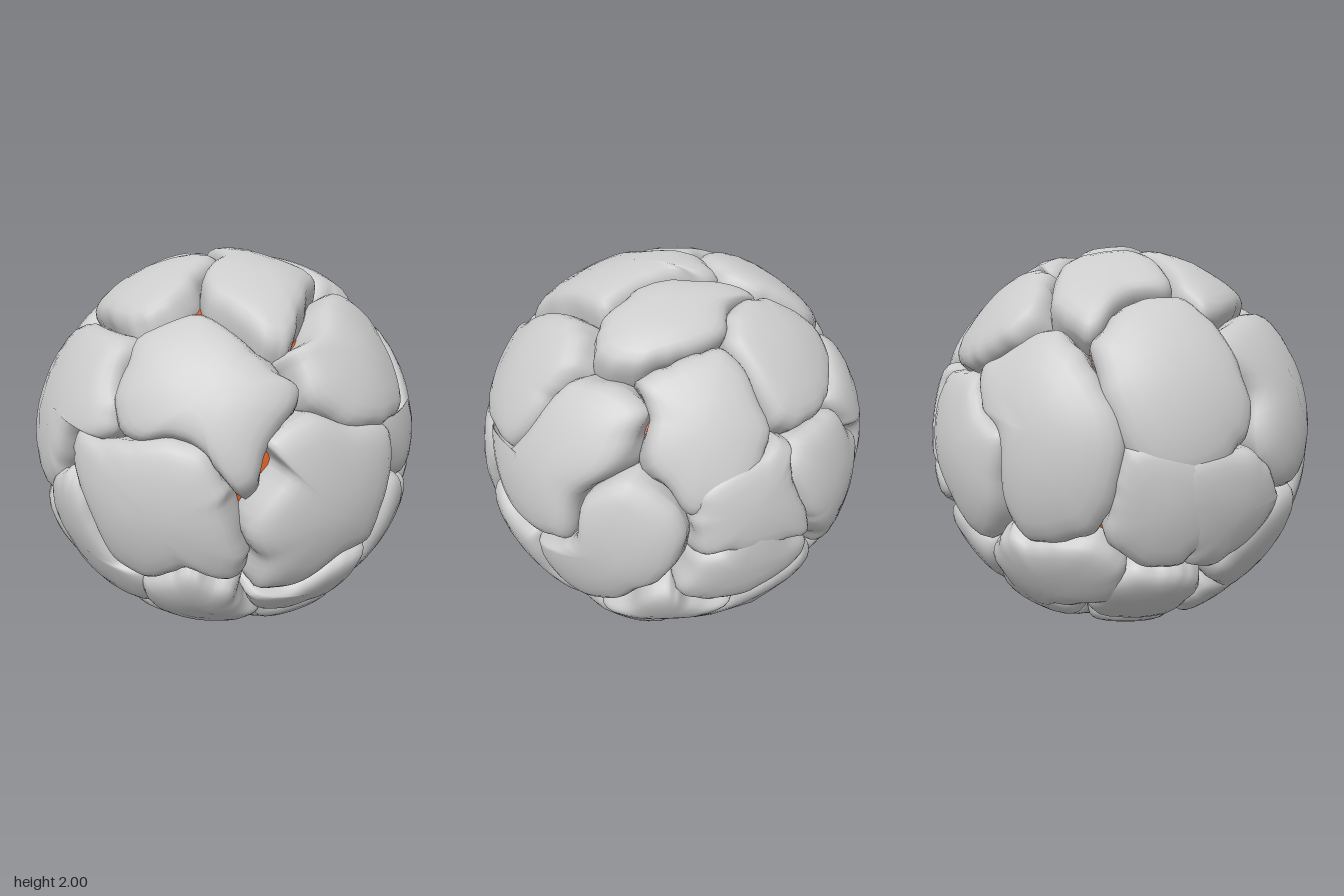
import * as THREE from 'three';

const grey = new THREE.MeshStandardMaterial({ color: 0xcccccc, side: THREE.DoubleSide });
const orange = new THREE.MeshStandardMaterial({ color: 0xd85a20 });
const V = (x, y, z) => new THREE.Vector3(x, y, z);

// Drawing planes around the ball: right, up and outward axes
function plane(azimuth, elevation) {
  const a = THREE.MathUtils.degToRad(azimuth), e = THREE.MathUtils.degToRad(elevation);
  const right = V(Math.cos(a), 0, -Math.sin(a));
  const out = V(Math.sin(a) * Math.cos(e), Math.sin(e), Math.cos(a) * Math.cos(e));
  return [right, out.clone().cross(right), out];
}
const front = plane(0, 0), side = plane(90, 0);
const back = plane(215, 24), under = plane(142, -30);
const top = [V(1, 0, 0), V(0, 0, 1), V(0, 1, 0)];
const bottom = [V(1, 0, 0), V(0, 0, 1), V(0, -1, 0)];

const CORE = 0.85, SEG = 72;
// Cap rings (reach towards the shoulder, height), then wall rings (reach towards the foot, height)
const CAP = [[0.3, 1], [0.55, 0.985], [0.74, 0.95], [0.86, 0.88], [0.94, 0.77], [1, 0.6]];
const WALL = [[0.3, 0.45], [0.65, 0.25], [1, 0.02], [1.1, -0.25]];

// Wrap a closed outline (hundredths) on the ball: centre, rim directions, room to spread
function wrapOutline([right, up, out], pts) {
  let dirs = [];
  for (let i = 0; i < pts.length; i += 2) {
    const u = pts[i] / 100, v = pts[i + 1] / 100;
    const w = Math.sqrt(Math.max(0, 0.96 - u * u - v * v));
    dirs.push(V(0, 0, 0).addScaledVector(right, u).addScaledVector(up, v).addScaledVector(out, w).normalize());
  }
  const centre = dirs.reduce((s, d) => s.add(d), V(0, 0, 0)).normalize();
  // keep the outline anticlockwise seen from outside
  let turn = 0;
  dirs.forEach((d, i) => { turn += d.clone().cross(dirs[(i + 1) % dirs.length]).dot(centre); });
  if (turn < 0) dirs = dirs.reverse();
  const rim = new THREE.CatmullRomCurve3(dirs, true, 'centripetal').getPoints(SEG).slice(0, SEG);
  rim.forEach(d => d.normalize());
  const room = rim.map(d => 0.015 + 0.4 * (1 - d.dot(out) ** 2));
  return { centre, rim, room };
}

// Spread a rim outwards until it meets the neighbouring rocks; returns shoulder and foot
function spreadRim({ centre, rim, room }, others) {
  const outward = rim.map(d => d.clone().multiplyScalar(centre.dot(d)).sub(centre).normalize());
  const blocked = (p, s) => others.some(o => {
    if (p.dot(o.centre) < 0.3) return false;
    let near = o.rim[0], best = -1;
    for (const q of o.rim) {
      const c = p.dot(q);
      if (c > best) { best = c; near = q; }
    }
    const inside = p.dot(o.centre) > near.dot(o.centre);
    return inside || Math.sqrt(Math.max(0, 2 - 2 * best)) < 0.5 * s + 0.015;
  });
  const grow = rim.map((d, i) => {
    let s = 0;
    while (s < room[i] && !blocked(d.clone().addScaledVector(outward[i], s + 0.02).normalize(), s)) s += 0.02;
    return s;
  });
  const spread = amount => rim.map((d, i) => {
    const s = (grow[(i + SEG - 1) % SEG] + 2 * grow[i] + grow[(i + 1) % SEG]) / 4;
    return d.clone().addScaledVector(outward[i], s * amount).normalize();
  });
  return [spread(0.55), spread(1)];
}

// Rock with a pillowy cap down to its shoulder and a sloping wall down to its foot
function rockGeometry(centre, shoulder, foot, seed) {
  const crown = 1 + 0.005 * Math.sin(seed * 2.7);
  const pos = [centre.x * crown, centre.y * crown, centre.z * crown], index = [];
  const ring = (from, to, t, h, wave) => to.forEach((d, i) => {
    const a = i / SEG * Math.PI * 2;
    const ripple = Math.sin(a * 10 + seed) * 0.6 + Math.sin(a * 17 + seed * 3) * 0.4;
    const p = from(i).clone().lerp(d, t).addScaledVector(centre, -0.012 * ripple * wave).normalize();
    p.lerp(centre, 0.03 * ripple * wave).normalize();
    const lump = 0.004 * (Math.sin(p.x * 9 + seed) + Math.sin(p.y * 8 + seed * 2) + Math.sin(p.z * 10)) * h;
    p.multiplyScalar(CORE + (crown - CORE) * h + lump);
    pos.push(p.x, p.y, p.z);
  });
  CAP.forEach(([t, h]) => ring(() => centre, shoulder, t, h, t * t * t));
  WALL.forEach(([t, h]) => ring(i => shoulder[i], foot, t, h, 1));
  for (let i = 0; i < SEG; i++) {
    const j = (i + 1) % SEG;
    index.push(0, 1 + i, 1 + j);
    for (let k = 0; k < CAP.length + WALL.length - 1; k++) {
      const a = 1 + k * SEG + i, b = 1 + k * SEG + j;
      index.push(a, a + SEG, b + SEG, a, b + SEG, b);
    }
  }
  const g = new THREE.BufferGeometry();
  g.setAttribute('position', new THREE.Float32BufferAttribute(pos, 3));
  g.setIndex(index);
  g.computeVertexNormals();
  return g;
}

export function createModel() {
  const model = new THREE.Group();
  model.name = 'rockBall';
  const ball = new THREE.Group();
  ball.name = 'rocks';
  ball.position.y = 1;
  model.add(ball);

  // Glowing core showing through the cracks
  const core = new THREE.Mesh(new THREE.SphereGeometry(CORE, 48, 32), orange);
  core.name = 'core';
  ball.add(core);

  const rocks = [];
  const rock = (name, view, ...pts) => rocks.push({ name, ...wrapOutline(view, pts) });

  // Front rocks
  rock('frontStarRock', front, -24, 25, -4, 25, 15, 28, 32, 30, 46, 24, 51, 10, 48, 0, 54, -22, 50, -33, 35, -32, 25, -38, 12, -43, -4, -36, -12, -16);
  rock('frontUpperLeftRock', front, -1, 52, 8, 66, 24, 73, 42, 66, 52, 56, 66, 50, 67, 37, 60, 16, 50, 16, 44, 24, 30, 30, 12, 27, -2, 40);
  rock('frontHookRock', front, -74, 56, -52, 64, -28, 65, -8, 58, -2, 46, 2, 35, -5, 25, -18, 30, -32, 8, -36, -5, -52, -16, -72, -12, -82, 5, -76, 30);
  rock('frontKidneyRock', front, -48, -10, -40, 2, -28, 4, -18, 0, -12, -18, -2, -38, 9, -45, 4, -68, -15, -68, -40, -60, -44, -40, -52, -25);
  rock('frontLowerRightRock', front, -75, -22, -55, -17, -50, -30, -44, -55, -25, -68, -18, -75, -35, -80, -65, -62, -78, -45);
  rock('frontLowerLeftRock', front, 8, -46, 25, -38, 36, -33, 42, -45, 48, -60, 45, -72, 25, -82, 3, -70);
  rock('frontFarRightRock', front, -97, 8, -83, 6, -72, -14, -70, -22, -76, -42, -86, -42, -96, -15);

  // Rocks on the +x side
  rock('sideFrontRock', side, -68, 30, -50, 34, -25, 30, -4, 24, -8, 0, -14, -15, -17, -30, -35, -34, -52, -48, -63, -44, -65, -25, -73, -15, -62, 10);
  rock('sideElbowRock', side, -11, 28, 2, 20, 14, 24, 26, 40, 34, 58, 48, 62, 64, 60, 66, 45, 58, 22, 55, -5, 45, -9, 20, -8, 5, 2);
  rock('sideUpperRock', side, -42, 52, -36, 62, -20, 68, -5, 76, 10, 78, 22, 74, 28, 60, 28, 48, 18, 28, 0, 26, -20, 27, -35, 32);
  rock('sideLowerRock', side, -4, -4, 4, -3, 14, -13, 32, -14, 35, -25, 33, -45, 35, -60, 15, -65, -10, -62, -17, -52, -12, -36);
  rock('sideLowerFrontRock', side, -62, -50, -50, -48, -35, -36, -18, -34, -14, -50, -18, -62, -35, -64, -55, -62);
  rock('sideBottomRock', side, -35, -66, -18, -64, -5, -68, 0, -80, -3, -92, -20, -95, -28, -85);
  rock('sideBackRock', side, 36, -15, 50, -8, 60, 0, 62, 20, 75, 25, 88, 15, 85, -10, 75, -28, 60, -42, 40, -40);

  // Top rocks
  rock('topMiddleRock', top, -16, -5, -14, -18, -5, -22, 5, -14, 20, -14, 40, -14, 45, 0, 50, 20, 57, 35, 53, 43, 35, 43, 20, 40, 8, 28, 5, 15);
  rock('topBackRock', top, -25, -38, -8, -44, 2, -56, 20, -58, 35, -54, 48, -42, 48, -30, 38, -24, 25, -16, 5, -22);
  rock('topRightRock', top, -74, -22, -58, -34, -35, -36, -22, -25, -15, -10, -20, 5, -35, 14, -58, 13, -62, -5);
  rock('topFrontRock', top, -60, 32, -45, 20, -25, 12, -8, 6, 4, 14, 4, 35, -2, 55, -15, 60, -40, 50);
  rock('upperBackRock', top, -55, -55, -45, -72, -30, -82, -10, -82, 2, -60, -5, -46, -25, -38, -40, -40);
  rock('upperBackLeftRock', top, 0, -90, 18, -95, 35, -90, 45, -70, 40, -58, 20, -58, 3, -62);
  rock('upperRightRock', top, -98, 0, -90, -20, -75, -20, -65, -5, -60, 15, -70, 40, -85, 45, -95, 30);

  // Back rocks
  rock('backRightRock', back, 0, 5, 16, 15, 30, 25, 46, 20, 60, 10, 72, -10, 67, -42, 52, -58, 33, -65, 28, -50, 22, -22, 8, -12);
  rock('backMiddleRock', back, -44, -4, -20, 2, -3, 0, 8, -15, 24, -25, 18, -48, 5, -70, -8, -69, -20, -48, -36, -37);
  rock('backLeftRock', back, -77, 4, -60, 7, -43, 2, -43, -15, -36, -40, -58, -39, -76, -26, -80, -10);
  rock('rightEdgeRock', back, 74, -10, 96, -10, 90, -37, 76, -58, 66, -55, 70, -30);
  rock('backLowerRightRock', back, 30, -66, 50, -60, 65, -62, 55, -78, 30, -88, 5, -95, 0, -85, 12, -72);

  // Lower back rocks
  rock('backLowerLeftRock', under, 20, 18, 33, 34, 45, 48, 55, 55, 65, 38, 73, 14, 58, 8, 42, 9, 28, 12);
  rock('lowerBoneRock', under, -20, -10, -5, 1, 9, 18, 20, 18, 26, 4, 42, -6, 36, -15, 14, -10, -2, -15);
  rock('lowerBackLeftRock', under, -40, -34, -24, -20, 3, -13, 14, -34, 16, -58, -5, -67, -27, -64);
  rock('lowerBackRock', under, 14, -38, 22, -20, 50, -10, 64, -2, 80, -10, 77, -32, 58, -45, 30, -56);
  rock('bottomBackLeftRock', under, -38, -55, -27, -65, -6, -67, -4, -82, -18, -88, -36, -75);
  rock('bottomBackRock', under, 0, -67, 15, -60, 30, -58, 45, -58, 48, -72, 30, -84, 8, -86);
  rock('bottomBackRightRock', under, 50, -48, 75, -38, 88, -40, 75, -58, 55, -72, 50, -60);

  // Bottom rocks
  rock('bottomFrontRock', bottom, -15, 65, 8, 66, 28, 48, 25, 28, 5, 16, -18, 18, -20, 40);
  rock('bottomMiddleRock', bottom, -22, 12, -3, 8, -5, -8, -18, -18, -38, -20, -50, -8, -48, 15, -35, 22);
  rock('bottomFrontRightRock', bottom, -25, 60, -22, 35, -45, 24, -65, 25, -60, 45, -40, 58);
  rock('bottomRightRock', bottom, -76, 24, -55, 22, -50, -5, -62, -22, -82, -18, -85, 10);

  rocks.forEach((r, i) => {
    const [shoulder, foot] = spreadRim(r, rocks.filter(o => o !== r));
    const mesh = new THREE.Mesh(rockGeometry(r.centre, shoulder, foot, i + 1), grey);
    mesh.name = r.name;
    ball.add(mesh);
  });
  return model;
}
